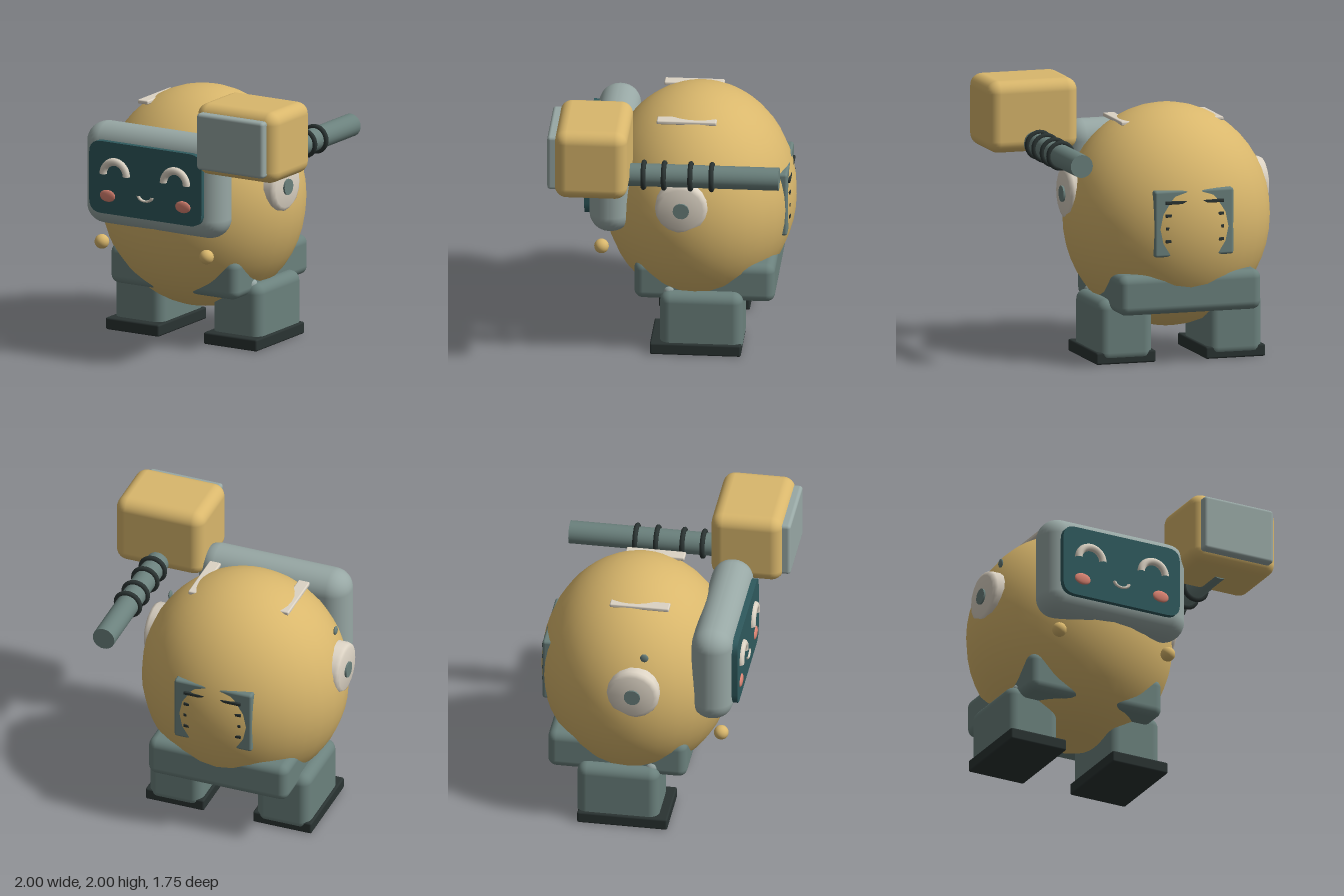
import * as THREE from 'three';
import { RoundedBoxGeometry } from 'three/addons/geometries/RoundedBoxGeometry.js';
import { toCreasedNormals } from 'three/addons/utils/BufferGeometryUtils.js';

const MID = -0.215; // the body's own centre line in x

function material(name, color) {
  const m = new THREE.MeshStandardMaterial({ color });
  m.name = name;
  return m;
}

export function createModel() {
  const group = new THREE.Group();
  const gold = material('gold', 0xd9b76c);
  const cream = material('cream', 0xdcd3c4);
  const teal = material('grey teal', 0x6b817d);
  const silver = material('silver grey', 0x98a8a5);
  const glass = material('dark screen', 0x2f5a5e);
  const black = material('charcoal', 0x2a3332);
  const pink = material('pink', 0xdd8574);

  function add(name, geometry, mat, x, y, z) {
    const mesh = new THREE.Mesh(geometry, mat);
    mesh.name = name;
    mesh.position.set(x, y, z);
    group.add(mesh);
    return mesh;
  }
  // Rounded box from its minimum and maximum corners
  function box(name, mat, [x0, y0, z0], [x1, y1, z1], radius) {
    const g = new RoundedBoxGeometry(x1 - x0, y1 - y0, z1 - z0, 4, radius);
    return add(name, g, mat, (x0 + x1) / 2, (y0 + y1) / 2, (z0 + z1) / 2);
  }
  function ball(name, mat, x, y, z, rx, ry = rx, rz = rx) {
    const mesh = add(name, new THREE.SphereGeometry(1, 20, 14), mat, x, y, z);
    mesh.scale.set(rx, ry, rz);
    return mesh;
  }

  // Egg-shaped body
  const body = add('body', new THREE.SphereGeometry(1, 32, 24), gold, MID, 1.04, -0.16);
  body.scale.set(0.77, 0.825, 0.71);

  // Face frame and screen
  box('faceFrame', silver, [-0.805, 0.905, 0.31], [0.385, 1.67, 0.62], 0.15);
  const w = 0.485, h = 0.272, r = 0.1;
  const outline = new THREE.Shape();
  outline.moveTo(-w + r, -h);
  outline.lineTo(w - r, -h);
  outline.quadraticCurveTo(w, -h, w, -h + r);
  outline.lineTo(w, h - r);
  outline.quadraticCurveTo(w, h, w - r, h);
  outline.lineTo(-w + r, h);
  outline.quadraticCurveTo(-w, h, -w, h - r);
  outline.lineTo(-w, -h + r);
  outline.quadraticCurveTo(-w, -h, -w + r, -h);
  const screen = new THREE.ExtrudeGeometry(outline, { depth: 0.055, bevelEnabled: false, curveSegments: 5 });
  add('screen', toCreasedNormals(screen, 0.6), glass, MID, 1.293, 0.6);

  // Smile
  const smile = add('smile', new THREE.TorusGeometry(0.058, 0.014, 8, 16, Math.PI), cream, MID, 1.195, 0.655);
  smile.rotation.z = Math.PI;
  smile.scale.y = 0.65;

  // Mirrored pairs
  for (const s of [-1, 1]) {
    const side = s > 0 ? 'left' : 'right';
    const at = (d) => MID + s * d;

    add(side + 'Eye', new THREE.TorusGeometry(0.1, 0.029, 10, 20, Math.PI), cream, at(0.26), 1.322, 0.657);
    ball(side + 'Cheek', pink, at(0.325), 1.157, 0.655, 0.066, 0.045, 0.016);
    ball(side + 'Button', gold, at(0.452), 0.77, 0.53, 0.054);
    ball(side + 'HeadNub', teal, at(0.65), 1.485, -0.01, 0.013, 0.034, 0.031);

    // Ear disc with a rounded rim and a centre cap
    const profile = [[0.195, -0.2], [0.195, 0], [0.185, 0.022], [0.16, 0.032], [0, 0.034]]
      .map(([x, y]) => new THREE.Vector2(x, y));
    const ear = add(side + 'Ear', toCreasedNormals(new THREE.LatheGeometry(profile, 18), 0.9), cream, at(0.738), 1.22, -0.08);
    ear.rotation.z = -s * Math.PI / 2;
    const cap = add(side + 'EarCap', new THREE.CylinderGeometry(0.06, 0.06, 0.08, 18), teal, at(0.745), 1.215, -0.08);
    cap.rotation.z = Math.PI / 2;

    // Bar set into the top of the body
    box(side + 'TopBar', cream, [at(0.35) - 0.045, 1.735, -0.31], [at(0.35) + 0.045, 1.765, 0.13], 0.01);

    // Hip, leg and foot
    ball(side + 'Hip', silver, at(0.52), 0.465, 0.025, 0.05);
    const lx = at(0.423);
    box(side + 'Leg', teal, [lx - 0.21, 0.01, -0.52], [lx + 0.21, 0.48, 0.09], 0.075);
    box(side + 'Foot', black, [lx - 0.23, 0, -0.51], [lx + 0.23, 0.09, 0.16], 0.014);
  }

  // Pelvis block around the bottom of the body
  box('pelvis', teal, [-0.765, 0.39, -0.75], [0.335, 0.69, 0.285], 0.065);

  // Back hatch with dark slats, mostly sunk into the body
  box('backHatch', teal, [MID - 0.305, 0.83, -0.825], [MID + 0.305, 1.325, -0.5], 0.02);
  for (const y of [1.235, 1.14, 1.045, 0.95]) {
    box('backSlat', black, [MID - 0.225, y - 0.012, -0.842], [MID + 0.225, y + 0.012, -0.7], 0.005);
  }

  // Raised arm with bands
  const arm = add('arm', new THREE.CylinderGeometry(0.085, 0.085, 1.38, 24), teal, 0.65, 1.54, -0.12);
  arm.rotation.x = Math.PI / 2;
  for (const z of [0.185, 0.035, -0.16, -0.315]) {
    add('armBand', new THREE.TorusGeometry(0.093, 0.019, 10, 28), black, 0.65, 1.54, z);
  }

  // Boxy fist with front plate
  box('fist', gold, [0.305, 1.465, 0.285], [1, 2, 0.82], 0.09);
  box('fistPlate', silver, [0.36, 1.52, 0.78], [0.935, 1.945, 0.875], 0.025);

  return group;
}
